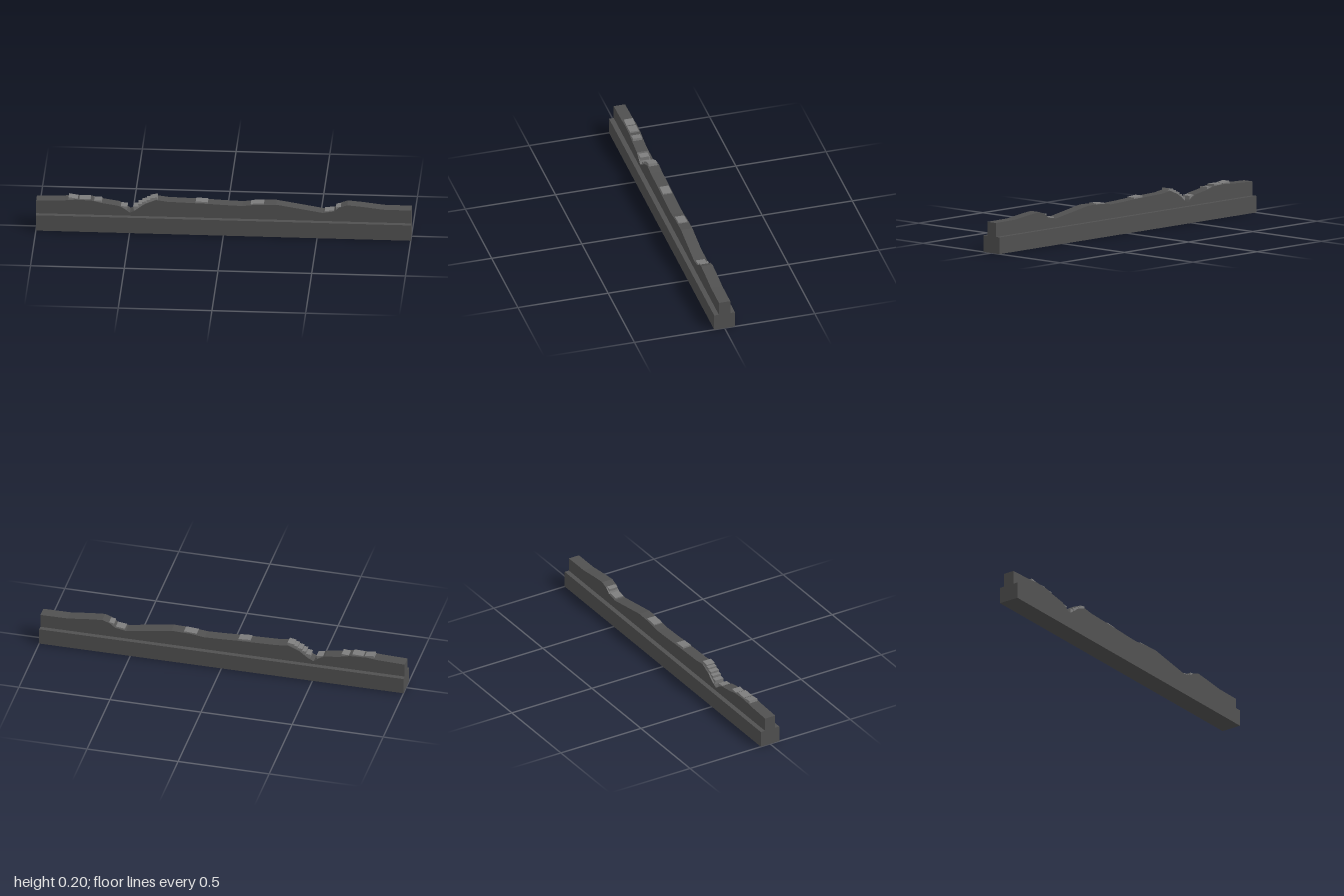
import * as THREE from 'three';

export function createModel() {
  const group = new THREE.Group();
  group.name = 'ruinedWall';
  const darkStone = new THREE.MeshStandardMaterial({ color: 0x505050, flatShading: true });
  darkStone.name = 'dark stone';
  const lightStone = new THREE.MeshStandardMaterial({ color: 0x7c7c7c, flatShading: true });
  lightStone.name = 'light stone';

  const add = (name, geometry, material, x = 0, y = 0, z = 0) => {
    const mesh = new THREE.Mesh(geometry, material);
    mesh.name = name;
    mesh.position.set(x, y, z);
    group.add(mesh);
    return mesh;
  };

  // Wide plinth along the whole length
  add('plinth', new THREE.BoxGeometry(2, 0.09, 0.115), darkStone, 0, 0.045);

  // Narrow wall with a broken top edge
  const crest = [
    [-1, 0.165], [-0.85, 0.17], [-0.79, 0.176], [-0.7, 0.172], [-0.65, 0.16],
    [-0.56, 0.146], [-0.53, 0.13], [-0.5, 0.108], [-0.47, 0.122], [-0.42, 0.16],
    [-0.36, 0.186], [-0.3, 0.178], [-0.16, 0.174], [-0.08, 0.172], [0, 0.168],
    [0.1, 0.165], [0.18, 0.175], [0.28, 0.178], [0.53, 0.137], [0.59, 0.148],
    [0.62, 0.172], [0.66, 0.186], [0.74, 0.179], [0.85, 0.166], [1, 0.165],
  ];
  const outline = new THREE.Shape();
  outline.moveTo(-1, 0.09);
  outline.lineTo(1, 0.09);
  for (const [x, y] of [...crest].reverse()) outline.lineTo(x, y);
  outline.closePath();
  const wall = new THREE.ExtrudeGeometry(outline, { depth: 0.063, bevelEnabled: false });
  wall.translate(0, 0, -0.0315);
  add('brokenWall', wall, darkStone);

  // Loose stones bedded in the crest: start x, end x, top y, tilt
  const stones = [
    [-0.83, -0.78, 0.183, -0.15], [-0.77, -0.71, 0.18, 0.03], [-0.69, -0.65, 0.172, 0.1],
    [-0.55, -0.515, 0.142, -0.1], [-0.48, -0.455, 0.142, 0.1], [-0.455, -0.435, 0.158, 0.1],
    [-0.435, -0.41, 0.172, 0.1], [-0.41, -0.385, 0.184, 0.1], [-0.39, -0.352, 0.196, 0.2],
    [-0.15, -0.085, 0.181, -0.06], [0.145, 0.215, 0.179, 0.06],
    [0.54, 0.59, 0.149, 0.12], [0.6, 0.63, 0.172, 0.15],
  ];
  stones.forEach(([x0, x1, top, tilt], i) => {
    const height = 0.028;
    const stone = add(`looseStone${i + 1}`, new THREE.BoxGeometry(x1 - x0, height, 0.05),
      lightStone, (x0 + x1) / 2, top - height / 2, 0.001);
    stone.rotation.z = tilt;
  });

  return group;
}
